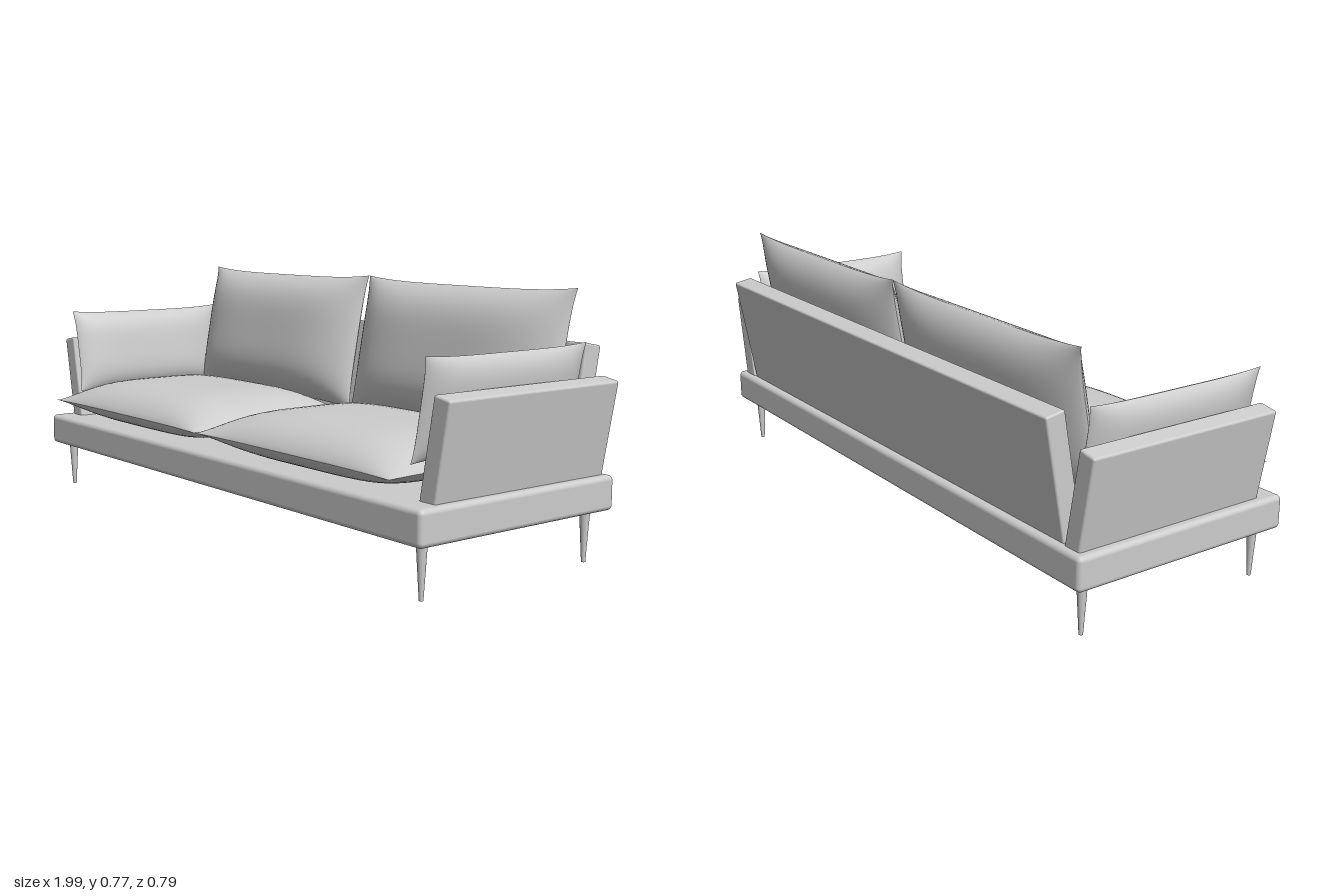
import * as THREE from 'three';
import { mergeGeometries } from 'three/addons/utils/BufferGeometryUtils.js';
import { RoundedBoxGeometry } from 'three/addons/geometries/RoundedBoxGeometry.js';

const fabric = new THREE.MeshStandardMaterial({ color: 0xcccccc });
fabric.name = 'light grey';

const TILT = 0.18; // lean of arms and backrest

// One half of a stuffed cushion in the xy plane, bulging towards +z
function cushionHalf(w, h, depth, pinch) {
  const geo = new THREE.PlaneGeometry(2, 2, 32, 28);
  const pos = geo.attributes.position;
  for (let i = 0; i < pos.count; i++) {
    // crowd the rows towards the seam
    const u = Math.sin(pos.getX(i) * Math.PI / 2);
    const v = Math.sin(pos.getY(i) * Math.PI / 2);
    const full = Math.max(0, (1 - u ** 4) * (1 - v ** 4));
    // edges draw inwards between the pointed corners
    const x = u * (w / 2 - pinch * (1 - v ** 4));
    const y = v * (h / 2 - pinch * (1 - u ** 4));
    pos.setXYZ(i, x, y, depth * full ** 0.75);
  }
  geo.computeVertexNormals();
  return geo;
}

// Whole cushion: two halves meeting in a sharp seam
function cushionGeometry(w, h, front, back, pinch) {
  return mergeGeometries([
    cushionHalf(w, h, front, pinch),
    cushionHalf(w, h, back, pinch).rotateY(Math.PI),
  ]);
}

export function createModel() {
  const sofa = new THREE.Group();
  sofa.name = 'sofa';

  const add = (name, geo, x, y, z, rx = 0, ry = 0, rz = 0) => {
    const mesh = new THREE.Mesh(geo, fabric);
    mesh.name = name;
    mesh.position.set(x, y, z);
    mesh.rotation.set(rx, ry, rz, 'ZYX');
    sofa.add(mesh);
  };

  // Base platform and leaning backrest
  add('base', new RoundedBoxGeometry(1.95, 0.1, 0.73, 4, 0.015), 0, 0.2, 0.008);
  add('backrest', new RoundedBoxGeometry(1.76, 0.42, 0.062, 3, 0.006), 0, 0.4, -0.328, -TILT);

  const legGeo = new THREE.CylinderGeometry(0.016, 0.006, 0.16, 20);
  const armGeo = new RoundedBoxGeometry(0.06, 0.33, 0.637, 3, 0.007);
  const seatGeo = cushionGeometry(0.885, 0.62, 0.085, 0.065, 0.013);
  const backGeo = cushionGeometry(0.88, 0.44, 0.085, 0.065, 0.013);
  const armCushionGeo = cushionGeometry(0.6, 0.285, 0.042, 0.038, 0.008);

  // Mirrored halves
  for (const side of [1, -1]) {
    const label = side > 0 ? 'left' : 'right';
    add(label + 'Arm', armGeo, side * 0.938, 0.36, -0.018, 0, 0, -side * TILT);
    add(label + 'SeatCushion', seatGeo, side * 0.443, 0.315, 0.088, -Math.PI / 2);
    add(label + 'BackCushion', backGeo, side * 0.441, 0.55, -0.25, -0.186);
    add(label + 'ArmCushion', armCushionGeo, side * 0.892, 0.481, 0.011,
      0, -side * Math.PI / 2, -side * TILT);
    add(label + 'FrontLeg', legGeo, side * 0.92, 0.08, 0.317);
    add(label + 'BackLeg', legGeo, side * 0.92, 0.08, -0.3);
  }
  return sofa;
}
